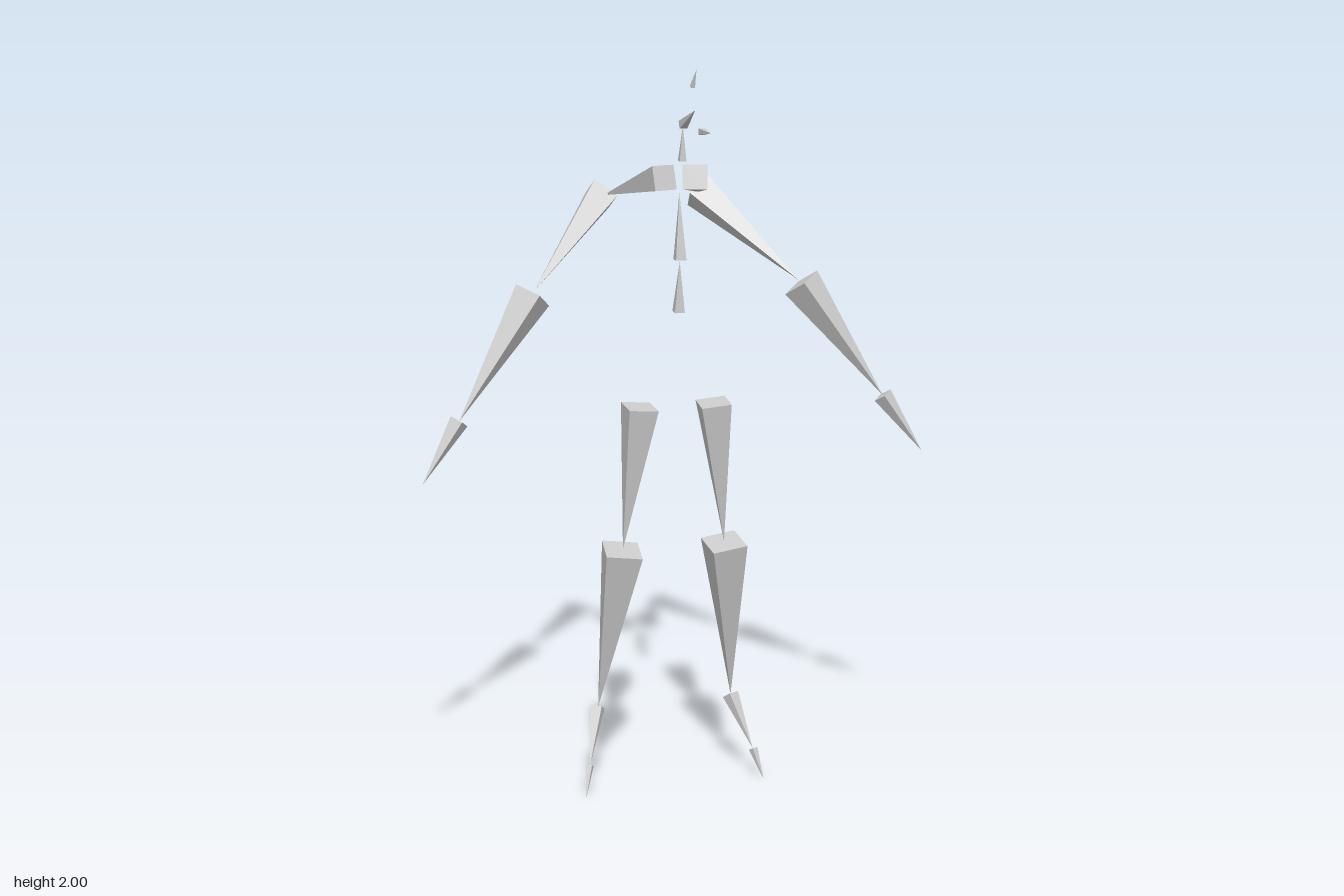
import * as THREE from 'three';

const V = (a) => new THREE.Vector3(...a);

// One bone: a square pyramid with its base at head, its apex at tail,
// and one pair of base edges running along side.
function bone(name, head, tail, side, width, material) {
  const dir = V(tail).sub(V(head));
  const length = dir.length();
  const w = width ?? length * 0.2;
  const geo = new THREE.ConeGeometry(w / Math.SQRT2, length, 4);
  geo.rotateY(Math.PI / 4).translate(0, length / 2, 0);
  const y = dir.normalize();
  const x = V(side).addScaledVector(y, -V(side).dot(y)).normalize();
  const z = new THREE.Vector3().crossVectors(x, y);
  geo.applyMatrix4(new THREE.Matrix4().makeBasis(x, y, z).setPosition(...head));
  const mesh = new THREE.Mesh(geo, material);
  mesh.name = name;
  return mesh;
}

export function createModel() {
  const grey = new THREE.MeshStandardMaterial({ color: 0xcccccc, flatShading: true });
  grey.name = 'bone grey';
  const model = new THREE.Group();
  model.name = 'skeleton';
  const axis = -0.004;

  // Paired bones, given for the right side: name, head, tail, base edge direction
  const limbs = [
    ['collar', [-0.041, 1.72, 0.03], [-0.134, 1.64, -0.27], [1, 0, -0.3]],
    ['upperArm', [-0.136, 1.643, -0.281], [-0.366, 1.416, -0.09], [0.78, -0.57, 0.25]],
    ['forearm', [-0.371, 1.41, -0.079], [-0.586, 1.1, -0.003], [0.69, -0.31, 0.65]],
    ['hand', [-0.586, 1.1, -0.004], [-0.691, 0.945, 0.03], [0.69, -0.31, 0.65]],
    ['thigh', [-0.102, 1.11, 0], [-0.143, 0.708, -0.032], [1, 0, -0.05]],
    ['shin', [-0.144, 0.705, -0.035], [-0.194, 0.22, -0.13], [1, 0, 0.1]],
    ['foot', [-0.195, 0.217, -0.135], [-0.237, 0.08, -0.05], [0.9, 0, 0.5]],
    ['toe', [-0.238, 0.08, -0.05], [-0.258, 0, -0.01], [0.9, 0, 0.5]],
  ];
  for (const [label, s] of [['right', 1], ['left', -1]]) {
    const half = new THREE.Group();
    half.name = label + 'Limbs';
    const flip = ([x, y, z]) => [x * s, y, z];
    for (const [name, head, tail, side] of limbs) {
      half.add(bone(name, flip(head), flip(tail), flip(side), undefined, grey));
    }
    half.position.x = axis;
    model.add(half);
  }

  // Bones along the middle: name, head, tail, base width
  const middle = [
    ['lowerSpine', [axis, 1.365, 0.018], [axis, 1.5, 0.03], 0.027],
    ['upperSpine', [axis, 1.505, 0.031], [axis, 1.68, 0.025], 0.028],
    ['neck', [axis, 1.765, 0.053], [axis, 1.857, 0.06], 0.018],
    ['head', [axis, 1.858, 0.06], [0.002, 1.903, 0.155], 0.021],
    ['crown', [0.014, 1.955, 0.085], [0.02, 2, 0.102], 0.011],
    ['brow', [axis, 1.858, 0.236], [axis, 1.862, 0.32], 0.016],
  ];
  for (const [name, head, tail, width] of middle) {
    model.add(bone(name, head, tail, [1, 0, 0], width, grey));
  }
  return model;
}
